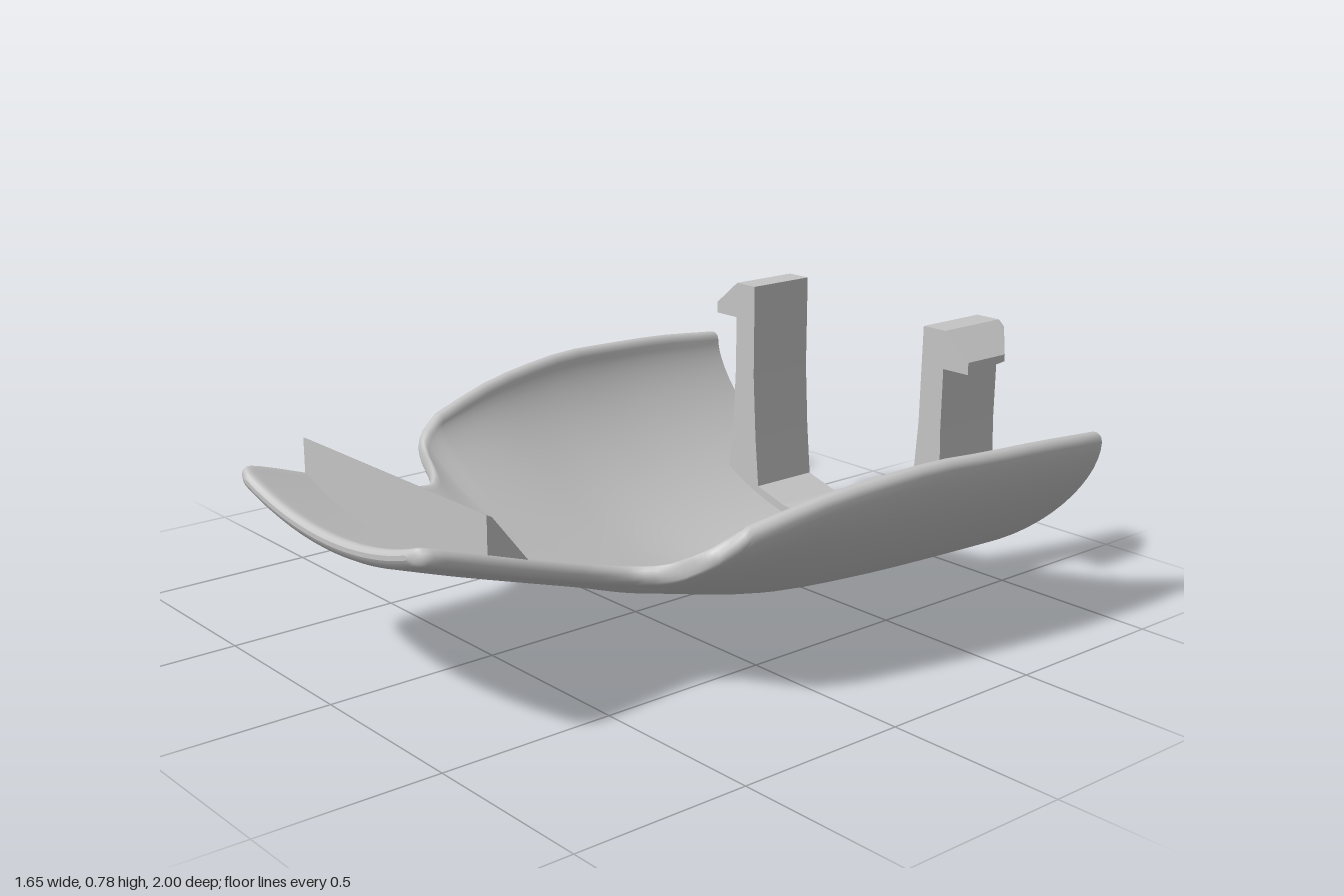
import * as THREE from 'three';
import { ConvexGeometry } from 'three/addons/geometries/ConvexGeometry.js';

// Monotone cubic interpolation through [z, value] pairs
function curve(pts) {
  const n = pts.length;
  const s = pts.slice(1).map((p, i) => (p[1] - pts[i][1]) / (p[0] - pts[i][0]));
  const m = pts.map((p, i) => {
    if (i === 0) return s[0];
    if (i === n - 1) return s[n - 2];
    const a = s[i - 1], b = s[i];
    return a * b <= 0 ? 0 : (2 * a * b) / (a + b);
  });
  return (z) => {
    let i = 0;
    while (i < n - 2 && z > pts[i + 1][0]) i++;
    const h = pts[i + 1][0] - pts[i][0], t = (z - pts[i][0]) / h;
    const t2 = t * t, t3 = t2 * t;
    return (2 * t3 - 3 * t2 + 1) * pts[i][1] + (t3 - 2 * t2 + t) * h * m[i]
      + (3 * t2 - 2 * t3) * pts[i + 1][1] + (t3 - t2) * h * m[i + 1];
  };
}

// Keel height, bowl half width, bowl depth, and share of the width kept
const keel = curve([[-1, 0.005], [-0.4, 0.03], [-0.2, 0.052], [0, 0.1], [0.3, 0.19], [0.6, 0.285], [0.8, 0.35], [1, 0.42]]);
const width = curve([[-1, 0.818], [-0.8, 0.825], [-0.6, 0.82], [-0.4, 0.805], [-0.2, 0.78], [0, 0.745], [0.2, 0.7], [0.3, 0.67], [0.4, 0.62], [0.5, 0.61], [1, 0.6]]);
const depth = curve([[-1, 0.5], [-0.7, 0.512], [-0.4, 0.51], [-0.2, 0.478], [0, 0.405], [0.2, 0.3], [0.3, 0.25], [1, 0.2]]);
const keep = curve([[-1, 1], [0.2, 1], [0.26, 0.985], [0.29, 0.955], [0.31, 0.9], [0.32, 0.84], [0.345, 0.77], [0.4, 0.71], [0.5, 0.685], [0.9, 0.715], [0.95, 0.71], [0.98, 0.69], [1, 0.64]]);
const THICK = 0.05;

// Outer skin point with its tangent and inward normal, at angle t across the bowl
function skin(z, t) {
  const W = width(z), H = depth(z), s = Math.sin(t), c = Math.cos(t);
  const tan = new THREE.Vector2(W * c, H * (0.62 * s + 0.76 * s * c)).normalize();
  return {
    p: new THREE.Vector2(W * s, keel(z) + H * (0.62 * (1 - c) + 0.38 * s * s)),
    tan, nor: new THREE.Vector2(-tan.y, tan.x),
  };
}
const skinY = (x, z) => skin(z, Math.asin(x / width(z))).p.y;

// Closed cross-section: outer skin, rounded rim, inner skin, rounded rim
function section(z, thick) {
  const N = 40, K = 5, ring = [], r = thick / 2;
  const tMax = Math.asin(Math.min(1, keep(z)));
  const at = (t, across, along) => {
    const q = skin(z, t);
    return q.p.addScaledVector(q.nor, THICK / 2 + across).addScaledVector(q.tan, along);
  };
  for (let i = 0; i <= N; i++) ring.push(at(tMax * (2 * i / N - 1), -r, 0));
  for (let k = 1; k < K; k++) ring.push(at(tMax, -r * Math.cos(Math.PI * k / K), r * Math.sin(Math.PI * k / K)));
  for (let i = N; i >= 0; i--) ring.push(at(tMax * (2 * i / N - 1), r, 0));
  for (let k = 1; k < K; k++) ring.push(at(-tMax, r * Math.cos(Math.PI * k / K), -r * Math.sin(Math.PI * k / K)));
  return ring;
}

// Joins rings of equal length and closes both ends with separate faces
function loft(rings, endShape) {
  const M = rings[0].length, pos = [], idx = [];
  rings.forEach((r) => r.forEach((v) => pos.push(v.x, v.y, v.z)));
  for (let i = 0; i < rings.length - 1; i++) {
    for (let j = 0; j < M; j++) {
      const a = i * M + j, b = i * M + (j + 1) % M;
      idx.push(a, b, a + M, b, b + M, a + M);
    }
  }
  [rings[0], rings[rings.length - 1]].forEach((r, end) => {
    const base = pos.length / 3;
    r.forEach((v) => pos.push(v.x, v.y, v.z));
    THREE.ShapeUtils.triangulateShape(r.map(endShape), []).forEach(([a, b, c]) =>
      idx.push(base + a, base + (end ? b : c), base + (end ? c : b)));
  });
  const g = new THREE.BufferGeometry();
  g.setAttribute('position', new THREE.Float32BufferAttribute(pos, 3));
  g.setIndex(idx);
  g.computeVertexNormals();
  return g;
}

export function createModel() {
  const group = new THREE.Group();
  const grey = new THREE.MeshStandardMaterial({ color: 0xc4c4c4 });
  grey.name = 'grey';
  const add = (name, geo) => {
    const mesh = new THREE.Mesh(geo, grey);
    mesh.name = name;
    group.add(mesh);
  };

  // Curved shell, with denser sections at the shoulders and the rounded tip
  const zs = [];
  for (let i = 0; i < 12; i++) zs.push(-1 + i * 0.1);
  for (let i = 0; i < 4; i++) zs.push(0.2 + i * 0.02);
  for (let i = 0; i < 13; i++) zs.push(0.28 + i * 0.006);
  zs.push(0.365, 0.38, 0.4, 0.43, 0.47, 0.52, 0.6, 0.7, 0.8, 0.88, 0.93, 0.96, 0.975, 0.985, 0.993, 0.998, 1);
  const tip = (z) => THICK * Math.sqrt(Math.max(0.06, 1 - (Math.max(0, z - 0.975) / 0.025) ** 2));
  add('shell', loft(
    zs.map((z) => section(z, tip(z)).map((v) => new THREE.Vector3(v.x, v.y, z))),
    (v) => new THREE.Vector2(v.x, v.y)));

  // Wedge-shaped stop across the tongue, following the floor
  const wedgeRings = [];
  for (let i = 0; i <= 12; i++) {
    const x = 0.42 * (i / 6 - 1), zb = 0.6 + 0.075 * (x / 0.42) ** 2;
    wedgeRings.push([[0.8, skinY(x, 0.8) + 0.03], [zb, skinY(x, zb) + 0.042], [0.785, 0.568], [0.8, 0.576]]
      .map(([z, y]) => new THREE.Vector3(x, y, z)));
  }
  const wedge = loft(wedgeRings, (v) => new THREE.Vector2(-v.z, v.y)).toNonIndexed();
  wedge.computeVertexNormals();
  add('tongueStop', wedge);

  // Extrudes an x-y outline over the depth of the clip
  const clipPart = (pts) => new THREE.ExtrudeGeometry(
    new THREE.Shape(pts.map(([x, y]) => new THREE.Vector2(x, y))),
    { depth: 0.23, bevelEnabled: false }).translate(0, 0, -1);

  // Raised floor rib between the clip posts
  const xs = [-0.34, -0.2, 0, 0.2, 0.34];
  add('clipRib', clipPart([
    ...xs.map((x) => [x, skinY(x, -1) + 0.03]),
    ...xs.slice().reverse().map((x) => [x, skinY(x, -1) + 0.085]),
  ]));

  // Flared posts with chamfered hooks, mirrored left and right
  for (const [side, s] of [['left', 1], ['right', -1]]) {
    const post = [[0.31, 0.085], [0.46, 0.14], [0.437, 0.32], [0.43, 0.5], [0.43, 0.785], [0.35, 0.785], [0.347, 0.5], [0.333, 0.3]];
    add(side + 'Post', clipPart(post.map(([x, y]) => [s * x, y])));
    const hook = [
      [0.43, 0.785, -0.77], [0.43, 0.675, -0.77], [0.52, 0.71, -0.77], [0.52, 0.675, -0.77],
      [0.43, 0.785, -1], [0.43, 0.7, -1], [0.45, 0.768, -1], [0.45, 0.7, -1],
      [0.52, 0.71, -0.925], [0.52, 0.69, -0.925],
    ];
    add(side + 'Hook', new ConvexGeometry(hook.map(([x, y, z]) => new THREE.Vector3(s * x, y, z))));
  }
  return group;
}
